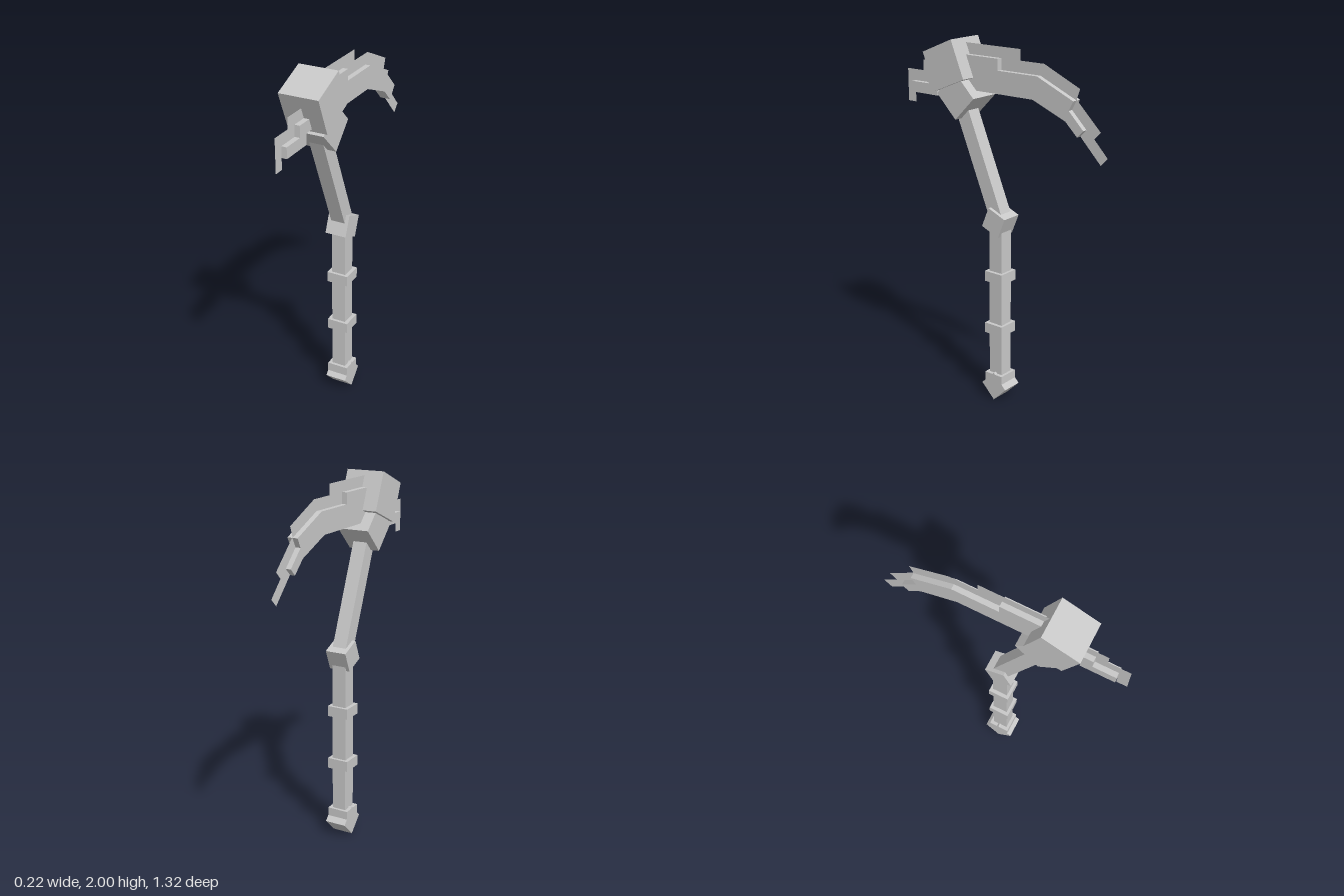
import * as THREE from 'three';

export function createModel() {
  const model = new THREE.Group();
  model.name = 'pickaxe';

  const grey = new THREE.MeshStandardMaterial({ color: 0xc8c8c8, side: THREE.DoubleSide });
  grey.name = 'plain grey';
  const TILT = Math.PI / 8;

  const add = (name, geometry) => {
    const mesh = new THREE.Mesh(geometry, grey);
    mesh.name = name;
    model.add(mesh);
    return mesh;
  };

  // Box centred on x = 0, leaning about the x axis
  const block = (name, width, height, depth, y, z, lean = 0) => {
    const mesh = add(name, new THREE.BoxGeometry(width, height, depth));
    mesh.position.set(0, y, z);
    mesh.rotation.x = lean;
  };

  // Side outline given as [z, y] points; zero thickness makes a flat sheet
  const profile = (name, points, thickness) => {
    const shape = new THREE.Shape(points.map(([z, y]) => new THREE.Vector2(z, y)));
    const geometry = thickness
      ? new THREE.ExtrudeGeometry(shape, { depth: thickness, bevelEnabled: false })
      : new THREE.ShapeGeometry(shape);
    geometry.translate(0, 0, -thickness / 2).rotateY(-Math.PI / 2);
    add(name, geometry);
  };

  // Handle: straight grip, bands, pommel, elbow and leaning shaft
  block('grip', 0.08, 0.97, 0.085, 0.565, 0.008);
  for (const y of [0.13, 0.43, 0.735]) block('gripBand', 0.12, 0.058, 0.117, y, 0.008);
  block('pommel', 0.12, 0.117, 0.117, 0.086, 0.006, Math.PI / 4);
  block('elbow', 0.12, 0.118, 0.118, 1.049, 0.007, -TILT);
  block('upperShaft', 0.08, 0.671, 0.085, 1.37, 0.129, TILT);

  // Head blocks
  block('headCollar', 0.178, 0.178, 0.178, 1.706, 0.239, Math.PI / 4);
  block('head', 0.216, 0.215, 0.215, 1.861, 0.305, TILT);

  // Long rear blade: thick core with a thin cutting edge around it
  profile('rearBladeCore', [
    [0.24, 1.918], [0, 1.918], [0, 1.857], [-0.25, 1.857], [-0.472, 1.761],
    [-0.446, 1.711], [-0.535, 1.623], [-0.499, 1.586], [-0.427, 1.655],
    [-0.223, 1.737], [0.22, 1.737],
  ], 0.057);
  profile('rearBladeEdge', [
    [0.24, 1.976], [-0.125, 1.976], [-0.125, 1.918], [-0.273, 1.918], [-0.491, 1.82],
    [-0.472, 1.766], [-0.618, 1.623], [-0.582, 1.584], [-0.663, 1.5], [-0.623, 1.459],
    [-0.499, 1.586], [-0.44, 1.7], [-0.22, 1.8], [0.24, 1.8],
  ], 0);

  // Short stepped front spike
  profile('frontSpikeCore', [
    [0.33, 1.796], [0.483, 1.796], [0.483, 1.735], [0.605, 1.735], [0.605, 1.676],
    [0.422, 1.676], [0.422, 1.735], [0.33, 1.735],
  ], 0.057);
  profile('frontSpikeEdge', [
    [0.33, 1.854], [0.544, 1.854], [0.544, 1.796], [0.661, 1.796], [0.661, 1.616],
    [0.605, 1.616], [0.605, 1.735], [0.483, 1.735], [0.483, 1.796], [0.33, 1.796],
  ], 0);

  return model;
}
